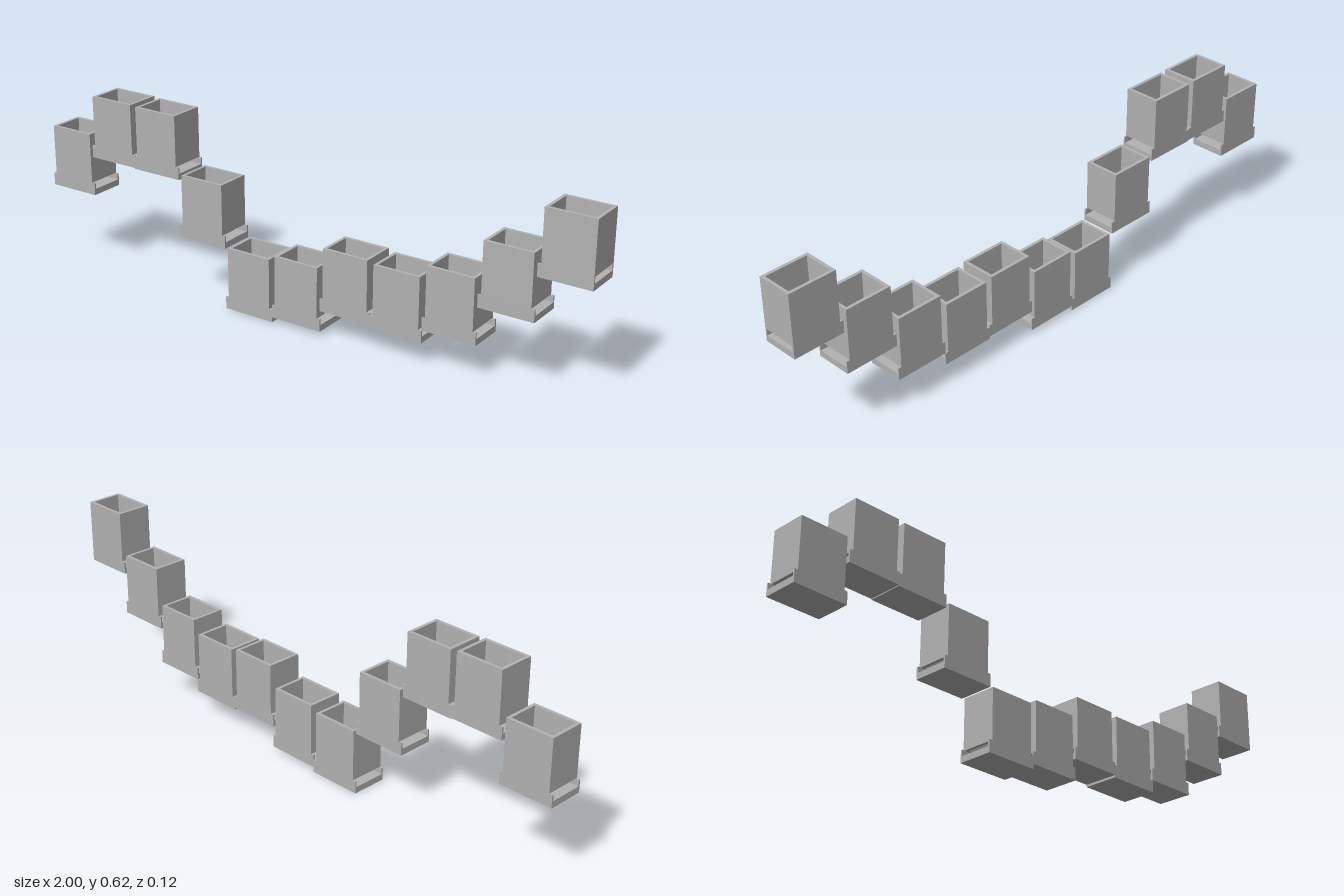
import * as THREE from 'three';

const PITCH = 0.1828;    // spacing of the cups, equal to the length of a base
const BODY = 0.161;      // length of the upper body
const DEPTH = 0.121;
const HEIGHT = 0.212;
const FLOOR = 0.021;     // floor thickness
const SLOT = 0.042;      // top of the end slots
const WALL = 0.0105;
const RAIL = 0.0055;     // thin sides beside the slots

// Height of each cup's underside, from -x to +x
const BOTTOMS = [0.27, 0.405, 0.402, 0.208, 0, 0.017, 0.088, 0.08, 0.123, 0.247, 0.39];

function rectangle(target, w, d) {
  target.moveTo(-w / 2, -d / 2);
  target.lineTo(w / 2, -d / 2);
  target.lineTo(w / 2, d / 2);
  target.lineTo(-w / 2, d / 2);
  target.closePath();
  return target;
}

export function createModel() {
  const model = new THREE.Group();
  model.name = 'steppedCups';
  const grey = new THREE.MeshStandardMaterial({ color: 0xb2b2b2 });
  grey.name = 'grey';

  // Open tube of walls standing above the end slots
  const outline = rectangle(new THREE.Shape(), BODY, DEPTH);
  outline.holes.push(rectangle(new THREE.Path(), BODY - 2 * WALL, DEPTH - 2 * WALL));
  const wallGeometry = new THREE.ExtrudeGeometry(outline, { depth: HEIGHT - SLOT, bevelEnabled: false });
  wallGeometry.rotateX(-Math.PI / 2).translate(0, SLOT, 0);

  BOTTOMS.forEach((bottom, i) => {
    const cup = new THREE.Group();
    cup.name = `cup${i + 1}`;
    cup.position.set(-1 + PITCH * (i + 0.5), bottom, 0);

    const add = (name, geometry, x = 0, y = 0, z = 0) => {
      const mesh = new THREE.Mesh(geometry, grey);
      mesh.name = name;
      mesh.position.set(x, y, z);
      cup.add(mesh);
    };

    // The last cup ends flush with its body, without a lip
    const left = -PITCH / 2;
    const right = i === BOTTOMS.length - 1 ? BODY / 2 : PITCH / 2;
    const length = right - left;
    const middle = (left + right) / 2;

    add('walls', wallGeometry);
    add('floor', new THREE.BoxGeometry(length, FLOOR, DEPTH), middle, FLOOR / 2, 0);
    for (const side of [-1, 1]) {
      add('slotRail', new THREE.BoxGeometry(length, SLOT - FLOOR, RAIL),
        middle, (FLOOR + SLOT) / 2, side * (DEPTH - RAIL) / 2);
    }
    model.add(cup);
  });
  return model;
}
